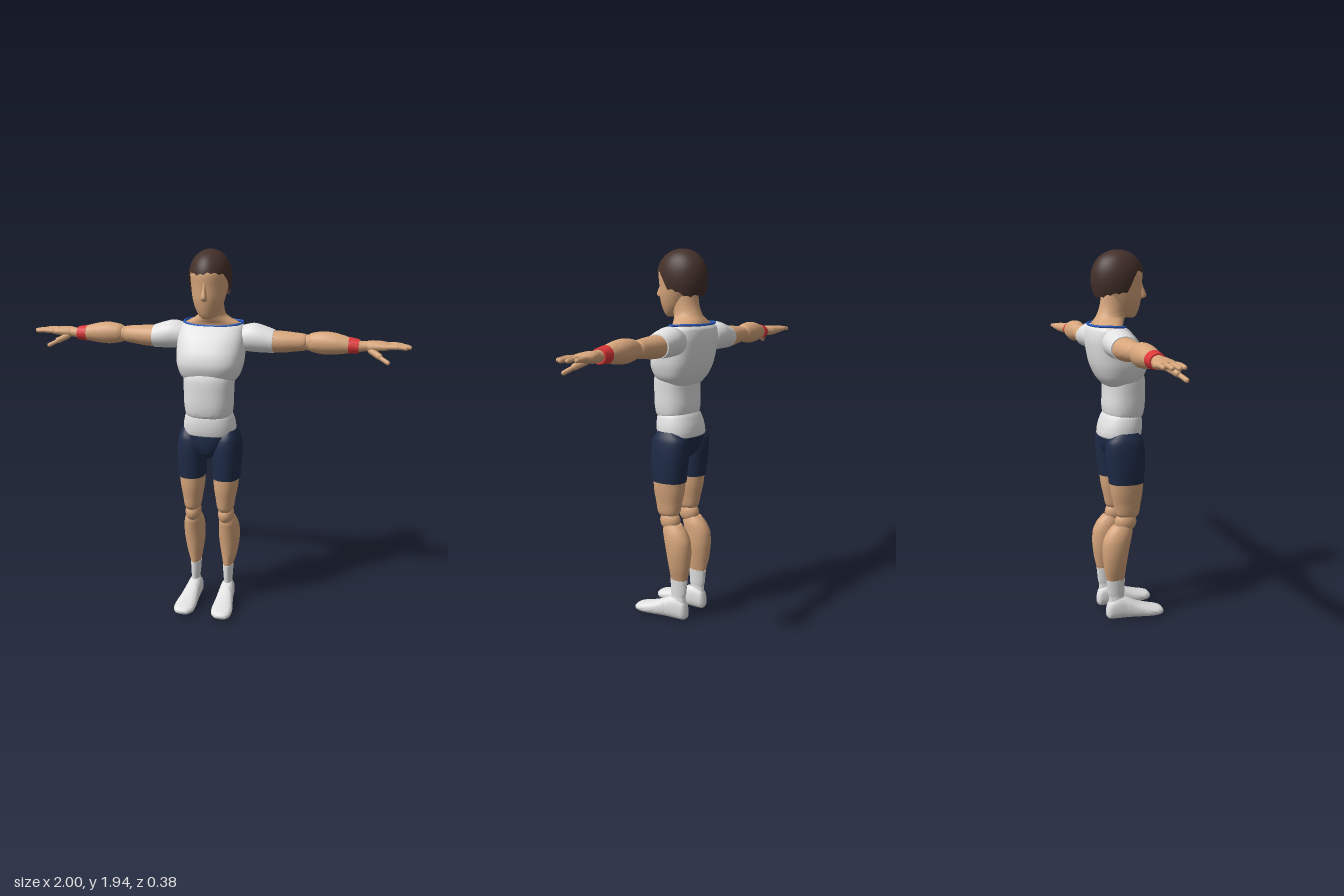
import * as THREE from 'three';
import { toCreasedNormals } from 'three/addons/utils/BufferGeometryUtils.js';

const mat = (name, color) => {
  const m = new THREE.MeshStandardMaterial({ color });
  m.name = name;
  return m;
};

// Smooth loft through cross-sections [t, u0, u1, v0, v1] (bounds of a superellipse at t).
// axis y: t=y u=x v=z | axis x: t=x u=y v=z | axis z: t=z u=x v=y. side -1 mirrors in x.
function loft(sections, axis = 'y', side = 1, power = 2, seg = 32, sub = 4) {
  const rings = [];
  const at = (i) => sections[Math.max(0, Math.min(sections.length - 1, i))];
  for (let i = 0; i < sections.length - 1; i++) {
    for (let s = 0; s < sub; s++) {
      const f = s / sub, f2 = f * f, f3 = f2 * f;
      rings.push(at(i).map((p, k) => {
        const q = at(i + 1)[k];
        const m0 = 0.4 * (q - at(i - 1)[k]), m1 = 0.4 * (at(i + 2)[k] - p);
        return (2 * f3 - 3 * f2 + 1) * p + (f3 - 2 * f2 + f) * m0 + (3 * f2 - 2 * f3) * q + (f3 - f2) * m1;
      }));
    }
  }
  rings.push(at(sections.length - 1));
  const pos = [], idx = [];
  const put = (t, u, v) => {
    const p = axis === 'y' ? [u, t, v] : axis === 'x' ? [t, u, v] : [u, v, t];
    pos.push(p[0] * side, p[1], p[2]);
  };
  const flip = (axis !== 'y') !== (side < 0);
  const tri = (a, b, c) => (flip ? idx.push(a, c, b) : idx.push(a, b, c));
  const bend = (w) => Math.sign(w) * Math.abs(w) ** (2 / power);
  for (const [t, u0, u1, v0, v1] of rings) {
    for (let j = 0; j < seg; j++) {
      const a = (j / seg) * Math.PI * 2;
      put(t, (u0 + u1) / 2 + bend(Math.cos(a)) * (u1 - u0) / 2, (v0 + v1) / 2 + bend(Math.sin(a)) * (v1 - v0) / 2);
    }
  }
  const n = rings.length;
  for (const r of [rings[0], rings[n - 1]]) put(r[0], (r[1] + r[2]) / 2, (r[3] + r[4]) / 2);
  for (let j = 0; j < seg; j++) {
    const k = (j + 1) % seg;
    for (let i = 0; i < n - 1; i++) {
      const a = i * seg + j, b = i * seg + k;
      tri(a, a + seg, b);
      tri(b, a + seg, b + seg);
    }
    tri(n * seg, j, k);
    tri(n * seg + 1, (n - 1) * seg + k, (n - 1) * seg + j);
  }
  const g = new THREE.BufferGeometry();
  g.setAttribute('position', new THREE.Float32BufferAttribute(pos, 3));
  g.setIndex(idx);
  return toCreasedNormals(g, 0.8);
}

// Hair cap: a dome whose lower edge dips from fringe to nape, cut into small locks
function hairGeometry() {
  const g = new THREE.SphereGeometry(1, 72, 16, 0, Math.PI * 2, 0, Math.PI / 2);
  const p = g.attributes.position;
  for (let i = 0; i < p.count; i++) {
    const a = Math.atan2(p.getX(i), p.getZ(i)), c = Math.cos(a);
    const lock = 0.008 * Math.abs(Math.sin(a * 9)) + 0.005 * Math.sin(a * 5);
    const edge = 1.7 + 0.025 * THREE.MathUtils.smoothstep(c, -0.8, 0) + 0.095 * THREE.MathUtils.smoothstep(c, 0.1, 0.6) + lock;
    const y = edge + (1.935 - edge) * p.getY(i);
    const k = Math.max(0, (y - 1.79) / 0.145), d = Math.max(0, 1.79 - y);
    const r = Math.sqrt(Math.max(0, 1 - k ** 2.3)) * (1 - 18 * d * d);
    p.setXYZ(i, Math.sin(a) * 0.107 * r, y, -0.028 + c * 0.137 * r);
  }
  g.computeVertexNormals();
  return g;
}

export function createModel() {
  const root = new THREE.Group();
  root.name = 'figure';
  const skin = mat('skin', 0xd6a57b), white = mat('white cloth', 0xe2e2e2), navy = mat('navy shorts', 0x1e2b47);
  const hair = mat('hair', 0x44302a), red = mat('red band', 0xdd383a), blue = mat('blue trim', 0x2c5cc0);
  hair.side = THREE.DoubleSide;

  const add = (name, geo, material, parent = root) => {
    const m = new THREE.Mesh(geo, material);
    m.name = name;
    parent.add(m);
    return m;
  };
  const ball = (name, material, parent, x, y, z, rx, ry, rz) => {
    const m = add(name, new THREE.SphereGeometry(1, 24, 16), material, parent);
    m.position.set(x, y, z);
    m.scale.set(rx, ry, rz);
  };
  const capsule = (name, material, parent, a, b, r) => {
    const p = new THREE.Vector3(...a), q = new THREE.Vector3(...b), d = q.clone().sub(p);
    const m = add(name, new THREE.CapsuleGeometry(r, Math.max(0.001, d.length() - r), 5, 12), material, parent);
    m.position.copy(p).add(q).multiplyScalar(0.5);
    m.quaternion.setFromUnitVectors(new THREE.Vector3(0, 1, 0), d.normalize());
  };
  // Section symmetric in x: [y, halfWidth, back, front]
  const sym = (rows) => rows.map(([y, w, b, f]) => [y, -w, w, b, f]);

  // Head, nose, hair and neck
  add('head', loft(sym([
    [1.597, 0.022, 0.015, 0.055], [1.61, 0.042, -0.02, 0.07], [1.65, 0.066, -0.06, 0.085], [1.7, 0.082, -0.09, 0.095],
    [1.76, 0.092, -0.125, 0.097], [1.82, 0.097, -0.14, 0.1], [1.87, 0.08, -0.12, 0.075], [1.9, 0.04, -0.07, 0.03],
  ])), skin);
  add('nose', loft(sym([
    [1.69, 0.006, 0.08, 0.1], [1.698, 0.016, 0.08, 0.12], [1.712, 0.015, 0.08, 0.126], [1.75, 0.009, 0.08, 0.11], [1.785, 0.006, 0.08, 0.098],
  ]), 'y', 1, 2, 16), skin);
  add('hair', hairGeometry(), hair);
  add('neck', loft(sym([
    [1.53, 0.15, -0.165, -0.012], [1.562, 0.142, -0.162, -0.012], [1.585, 0.1, -0.152, 0.0], [1.61, 0.07, -0.138, 0.01],
    [1.66, 0.063, -0.12, 0.025], [1.74, 0.062, -0.11, 0.02],
  ])), skin);

  // Shirt: chest, abdomen and hips as overlapping shells
  add('chest', loft(sym([
    [1.255, 0.11, -0.1, 0.04], [1.3, 0.15, -0.138, 0.09], [1.36, 0.17, -0.166, 0.112], [1.42, 0.175, -0.18, 0.1],
    [1.49, 0.175, -0.188, 0.06], [1.54, 0.165, -0.181, 0.015], [1.558, 0.152, -0.168, -0.008],
  ]), 'y', 1, 2.6, 48), white);
  add('abdomen', loft(sym([
    [1.085, 0.1, -0.08, 0.075], [1.1, 0.12, -0.1, 0.098], [1.15, 0.128, -0.108, 0.108], [1.22, 0.13, -0.105, 0.109],
    [1.29, 0.132, -0.105, 0.107], [1.34, 0.12, -0.1, 0.09], [1.37, 0.08, -0.08, 0.06],
  ]), 'y', 1, 2.3, 40), white);
  add('shirtHem', loft(sym([
    [1.115, 0.108, -0.1, 0.075], [1.095, 0.124, -0.112, 0.09], [1.05, 0.136, -0.128, 0.094], [1.0, 0.138, -0.135, 0.088], [0.985, 0.125, -0.125, 0.078],
  ].reverse()), 'y', 1, 2.3, 40), white);
  add('collarTrim', new THREE.TubeGeometry(new THREE.CatmullRomCurve3(
    [[0, 1.553, -0.006], [0.09, 1.556, -0.016], [0.145, 1.563, -0.055], [0.145, 1.567, -0.125], [0.08, 1.565, -0.165],
      [-0.08, 1.565, -0.165], [-0.145, 1.567, -0.125], [-0.145, 1.563, -0.055], [-0.09, 1.556, -0.016]]
      .map((p) => new THREE.Vector3(...p)), true), 64, 0.006, 8, true), blue);

  // Shorts centre piece
  add('shortsSeat', loft(sym([
    [0.865, 0.025, -0.06, 0.045], [0.89, 0.055, -0.095, 0.07], [0.94, 0.105, -0.125, 0.085], [1.0, 0.134, -0.132, 0.086], [1.012, 0.13, -0.128, 0.08],
  ]), 'y', 1, 2.3, 40), navy);

  for (const s of [1, -1]) {
    const word = s > 0 ? 'left' : 'right';
    const leg = new THREE.Group(), arm = new THREE.Group();
    leg.name = word + 'Leg';
    arm.name = word + 'Arm';
    root.add(leg, arm);

    // Leg
    add('shortsLeg', loft([
      [0.755, 0.022, 0.165, -0.103, 0.08], [0.84, 0.02, 0.171, -0.113, 0.085], [0.92, 0.02, 0.17, -0.122, 0.085],
      [0.98, 0.04, 0.162, -0.115, 0.075], [1.02, 0.075, 0.142, -0.07, 0.045],
    ], 'y', s, 2.3), navy, leg);
    add('thigh', loft([
      [0.565, 0.06, 0.122, -0.05, 0.045], [0.585, 0.047, 0.134, -0.068, 0.058], [0.64, 0.038, 0.142, -0.08, 0.067],
      [0.7, 0.029, 0.153, -0.093, 0.076], [0.77, 0.025, 0.161, -0.1, 0.078],
    ], 'y', s, 2.2), skin, leg);
    ball('knee', skin, leg, s * 0.091, 0.54, -0.014, 0.043, 0.055, 0.058);
    add('shin', loft([
      [0.215, 0.066, 0.118, -0.118, -0.022], [0.29, 0.053, 0.14, -0.134, -0.014], [0.37, 0.042, 0.153, -0.142, -0.002],
      [0.44, 0.042, 0.154, -0.138, 0.012], [0.49, 0.047, 0.145, -0.115, 0.022], [0.525, 0.06, 0.13, -0.085, 0.015],
    ], 'y', s), skin, leg);
    add('sock', loft([
      [0.08, 0.064, 0.122, -0.11, -0.02], [0.125, 0.07, 0.116, -0.108, -0.024], [0.15, 0.068, 0.117, -0.114, -0.022], [0.222, 0.063, 0.121, -0.121, -0.019],
    ], 'y', s), white, leg);
    add('shoe', loft([
      [-0.12, 0.075, 0.105, 0.015, 0.06], [-0.105, 0.06, 0.122, 0.002, 0.1], [-0.06, 0.055, 0.13, 0, 0.125], [-0.01, 0.053, 0.135, 0, 0.112],
      [0.05, 0.05, 0.147, 0, 0.083], [0.11, 0.046, 0.158, 0, 0.062], [0.155, 0.05, 0.158, 0.002, 0.05], [0.18, 0.066, 0.146, 0.006, 0.042], [0.19, 0.08, 0.132, 0.014, 0.032],
    ], 'z', s, 2.5), white, leg);

    // Arm
    add('sleeve', loft([
      [0.125, 1.46, 1.52, -0.12, -0.05], [0.15, 1.425, 1.55, -0.155, -0.025], [0.21, 1.418, 1.565, -0.17, -0.015],
      [0.26, 1.417, 1.555, -0.168, -0.015], [0.318, 1.417, 1.536, -0.163, -0.022],
    ], 'x', s), white, arm);
    add('upperArm', loft([
      [0.3, 1.42, 1.532, -0.158, -0.026], [0.37, 1.422, 1.53, -0.153, -0.032], [0.43, 1.43, 1.525, -0.145, -0.042],
      [0.475, 1.436, 1.52, -0.138, -0.052], [0.49, 1.45, 1.505, -0.125, -0.065],
    ], 'x', s), skin, arm);
    ball('elbow', skin, arm, s * 0.492, 1.478, -0.095, 0.038, 0.04, 0.038);
    add('forearm', loft([
      [0.49, 1.445, 1.515, -0.125, -0.065], [0.51, 1.432, 1.528, -0.14, -0.05], [0.57, 1.422, 1.537, -0.15, -0.04],
      [0.63, 1.425, 1.532, -0.147, -0.039], [0.7, 1.436, 1.514, -0.13, -0.046],
    ], 'x', s), skin, arm);
    add('wristband', loft([
      [0.695, 1.433, 1.517, -0.133, -0.043], [0.745, 1.437, 1.508, -0.126, -0.046],
    ], 'x', s), red, arm);
    add('wrist', loft([
      [0.735, 1.442, 1.503, -0.122, -0.05], [0.755, 1.446, 1.5, -0.118, -0.054], [0.79, 1.452, 1.5, -0.122, -0.058],
    ], 'x', s), skin, arm);
    add('palm', loft([
      [0.765, 1.455, 1.495, -0.115, -0.065], [0.8, 1.447, 1.502, -0.138, -0.055], [0.85, 1.454, 1.5, -0.152, -0.05],
      [0.885, 1.46, 1.494, -0.154, -0.048], [0.9, 1.467, 1.49, -0.148, -0.054],
    ], 'x', s, 2.4), skin, arm);
    // Fingers in two joints, little finger at the back
    [0.962, 0.988, 1, 0.982].forEach((tip, i) => {
      const z = -0.142 + i * 0.028, mid = 0.89 + (tip - 0.89) * 0.5;
      capsule('fingerBase', skin, arm, [s * 0.882, 1.479, z], [s * mid, 1.481, z], 0.012);
      capsule('fingerTip', skin, arm, [s * mid, 1.481, z], [s * (tip - 0.005), 1.477, z], 0.0105);
    });
    capsule('thumbBase', skin, arm, [s * 0.8, 1.458, -0.072], [s * 0.855, 1.432, -0.035], 0.016);
    capsule('thumbTip', skin, arm, [s * 0.85, 1.432, -0.036], [s * 0.896, 1.409, -0.012], 0.011);
  }
  return root;
}
